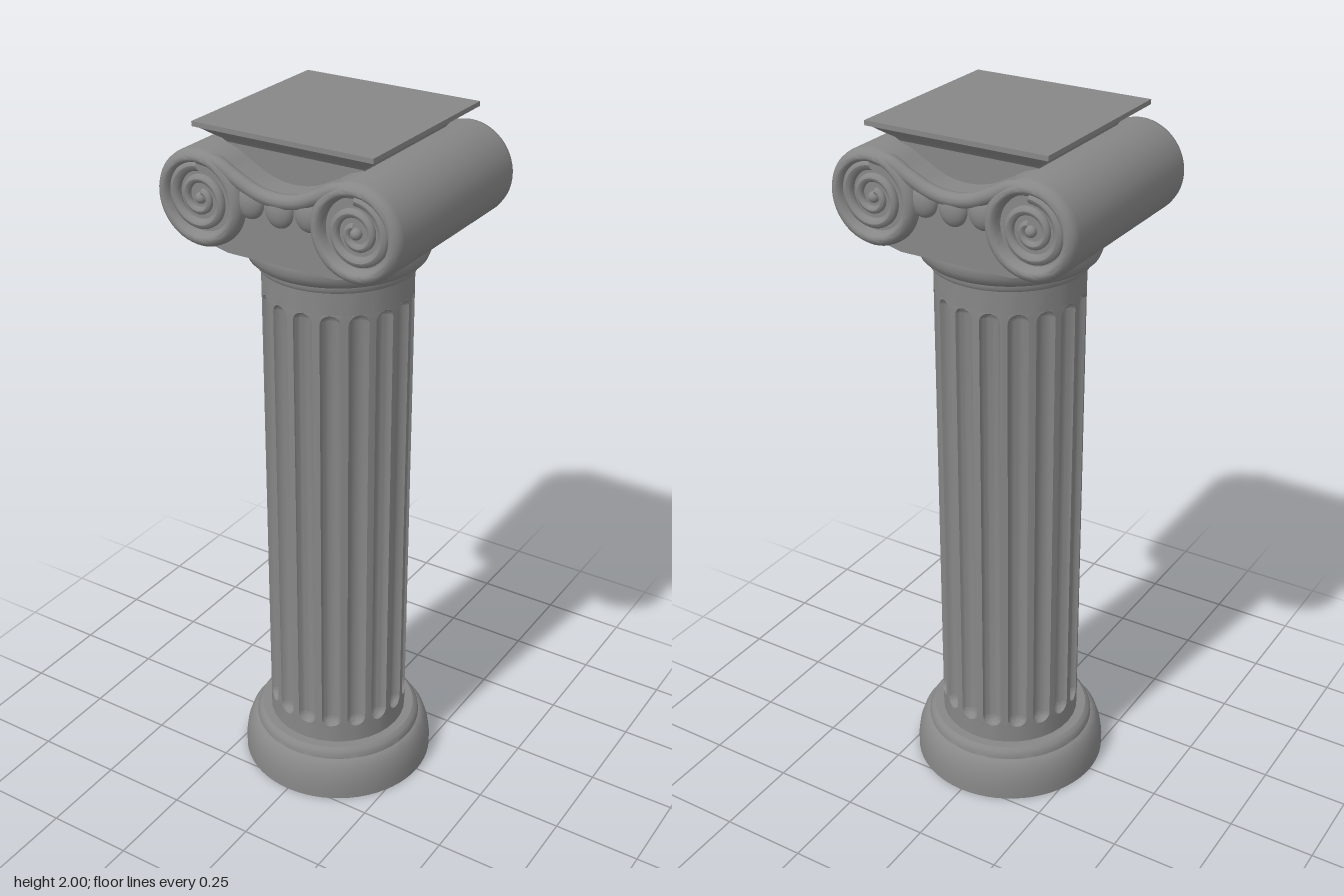
import * as THREE from 'three';
import { toCreasedNormals } from 'three/addons/utils/BufferGeometryUtils.js';

const stone = new THREE.MeshStandardMaterial({ color: 0x878787 });
const shell = new THREE.MeshStandardMaterial({ color: 0x878787, side: THREE.DoubleSide });

function part(name, geometry, parent, material = stone) {
  const mesh = new THREE.Mesh(geometry, material);
  mesh.name = name;
  parent.add(mesh);
  return mesh;
}

function turned(points, segments = 64, crease = 0.6, start = 0) {
  const profile = points.map(([r, y]) => new THREE.Vector2(r, y));
  return toCreasedNormals(new THREE.LatheGeometry(profile, segments, start), crease);
}

// Shaft shell whose rows widen and narrow with the rounded ends of each flute
function flutedShaft() {
  const R = 0.203, count = 17, half = 0.027, depth = 0.022, steps = 10;
  const bottom = 0.205, top = 1.53;
  const rows = [{ y: 0.14, h: 0.0005, d: half }];
  for (let k = 0; k <= 8; k++) {
    const d = half * Math.cos((k / 8) * Math.PI / 2);
    rows.push({ y: bottom + half - d, h: Math.sqrt(half * half - d * d) + 0.0005, d });
  }
  for (let k = 8; k >= 0; k--) {
    const d = half * Math.cos((k / 8) * Math.PI / 2);
    rows.push({ y: top - half + d, h: Math.sqrt(half * half - d * d) + 0.0005, d });
  }
  rows.push({ y: 1.61, h: 0.0005, d: half });

  const positions = [], index = [];
  const pitch = (Math.PI * 2) / count, perFlute = steps + 2, ring = count * perFlute;
  for (const { y, h, d } of rows) {
    for (let f = 0; f < count; f++) {
      for (let s = 0; s < perFlute; s++) {
        let angle = (f + 0.5) * pitch, r = R;
        if (s <= steps) {
          const u = -Math.cos((s / steps) * Math.PI) * h;
          angle = f * pitch + u / R;
          const inside = Math.max(0, half * half - u * u - d * d);
          if (s > 0 && s < steps) r = R - depth * Math.sqrt(inside) / half;
        }
        positions.push(r * Math.cos(angle), y, r * Math.sin(angle));
      }
    }
  }
  for (let j = 0; j < rows.length - 1; j++) {
    for (let i = 0; i < ring; i++) {
      const a = j * ring + i, b = j * ring + ((i + 1) % ring);
      index.push(a, a + ring, b, b, a + ring, b + ring);
    }
  }
  const geometry = new THREE.BufferGeometry();
  geometry.setAttribute('position', new THREE.Float32BufferAttribute(positions, 3));
  geometry.setIndex(index);
  return toCreasedNormals(geometry, 0.55);
}

// Tapering spiral coil, wound from the top outwards and in
function spiral(side, cx, cy, z) {
  const points = [];
  for (let i = 0; i <= 60; i++) {
    const t = i / 60, angle = Math.PI / 2 - t * Math.PI * 3.9, r = 0.086 - 0.068 * t;
    points.push(new THREE.Vector3(side * (cx + r * Math.cos(angle)), cy + r * Math.sin(angle), z));
  }
  const path = new THREE.CatmullRomCurve3(points), segments = 120, sides = 10;
  const geometry = new THREE.TubeGeometry(path, segments, 0.016, sides);
  const pos = geometry.attributes.position, v = new THREE.Vector3();
  for (let i = 0; i < pos.count; i++) {
    const t = Math.floor(i / (sides + 1)) / segments;
    v.fromBufferAttribute(pos, i).lerp(path.getPointAt(t), 0.4 * t);
    pos.setXYZ(i, v.x, v.y, v.z);
  }
  geometry.computeVertexNormals();
  return geometry;
}

export function createModel() {
  const model = new THREE.Group();
  model.name = 'column';
  const cx = 0.227, cy = 1.815;

  // Hollow base and shaft
  part('base', turned([
    [0.282, 0], [0.282, 0.035], [0.277, 0.07], [0.267, 0.1], [0.254, 0.117], [0.246, 0.12],
    [0.245, 0.131], [0.239, 0.143], [0.229, 0.15], [0.202, 0.15],
  ]), model, shell);
  part('shaft', flutedShaft(), model, shell);

  // Collar and cushion below the scrolls
  part('cushion', turned([
    [0.202, 1.595], [0.212, 1.597], [0.217, 1.605], [0.217, 1.614], [0.225, 1.617], [0.237, 1.627],
    [0.244, 1.643], [0.246, 1.66], [0.243, 1.676], [0.235, 1.69],
  ]), model, shell);

  const capital = new THREE.Group();
  capital.name = 'capital';
  model.add(capital);

  // Sagging line shared by the block and its bands
  const bandRadius = 0.019;
  const sag = [
    [-cx, 1.922, 0.279], [-0.17, 1.913, 0.279], [-0.12, 1.886, 0.277], [-0.06, 1.859, 0.274],
    [0, 1.85, 0.273], [0.06, 1.859, 0.274], [0.12, 1.886, 0.277], [0.17, 1.913, 0.279], [cx, 1.922, 0.279],
  ];

  // Saddle-shaped block between the scrolls
  const outline = new THREE.Shape();
  outline.moveTo(-0.16, 1.677);
  outline.lineTo(0.16, 1.677);
  outline.lineTo(cx, 1.692);
  outline.lineTo(cx, 1.922 + bandRadius - 0.001);
  outline.splineThru(sag.slice(0, -1).reverse().map(([x, y]) => new THREE.Vector2(x, y + bandRadius - 0.001)));
  outline.lineTo(-cx, 1.692);
  const block = new THREE.ExtrudeGeometry(outline, { depth: 0.53, bevelEnabled: false, curveSegments: 6 });
  block.translate(0, 0, -0.265);
  part('block', toCreasedNormals(block, 0.4), capital);

  // Scroll rolls with a raised rim around each sunken end
  const rim = [[0, 0.274], [0.089, 0.274], [0.092, 0.288], [0.098, 0.298], [0.105, 0.302],
    [0.112, 0.3], [0.12, 0.294], [0.126, 0.285], [0.128, 0.272]];
  const roll = [...rim.map(([r, z]) => [r, -z]), ...rim.slice().reverse()];
  for (const side of [-1, 1]) {
    const mesh = part(side > 0 ? 'leftScroll' : 'rightScroll', turned(roll, 56, 0.8), capital);
    mesh.rotation.x = Math.PI / 2;
    mesh.position.set(side * cx, cy, 0);
  }

  // Carving, the same on front and back
  const bandPath = new THREE.CatmullRomCurve3(sag.map((p) => new THREE.Vector3(...p)));
  for (const turn of [0, Math.PI]) {
    const face = new THREE.Group();
    face.name = turn ? 'backCarving' : 'frontCarving';
    face.rotation.y = turn;
    capital.add(face);
    part('band', new THREE.TubeGeometry(bandPath, 48, bandRadius, 12), face);
    for (const side of [-1, 1]) {
      part('spiral', spiral(side, cx, cy, 0.28), face);
      const eye = part('eye', new THREE.SphereGeometry(0.015, 16, 12), face);
      eye.position.set(side * cx, cy, 0.28);
    }
    for (const x of [-0.086, 0, 0.086]) {
      const egg = part('egg', new THREE.SphereGeometry(1, 24, 16), face);
      egg.scale.set(0.04, 0.045, 0.025);
      egg.position.set(x, 1.822 + Math.abs(x) * 0.08, 0.265);
    }
  }

  // Square top slab with flared sides
  const slab = [[0.2, 1.85], [0.2, 1.942], [0.208, 1.952], [0.23, 1.968], [0.25, 1.984],
    [0.261, 1.987], [0.261, 2], [0, 2]].map(([w, y]) => [w * Math.SQRT2, y]);
  part('topSlab', turned(slab, 4, 0.4, Math.PI / 4), capital);

  return model;
}
